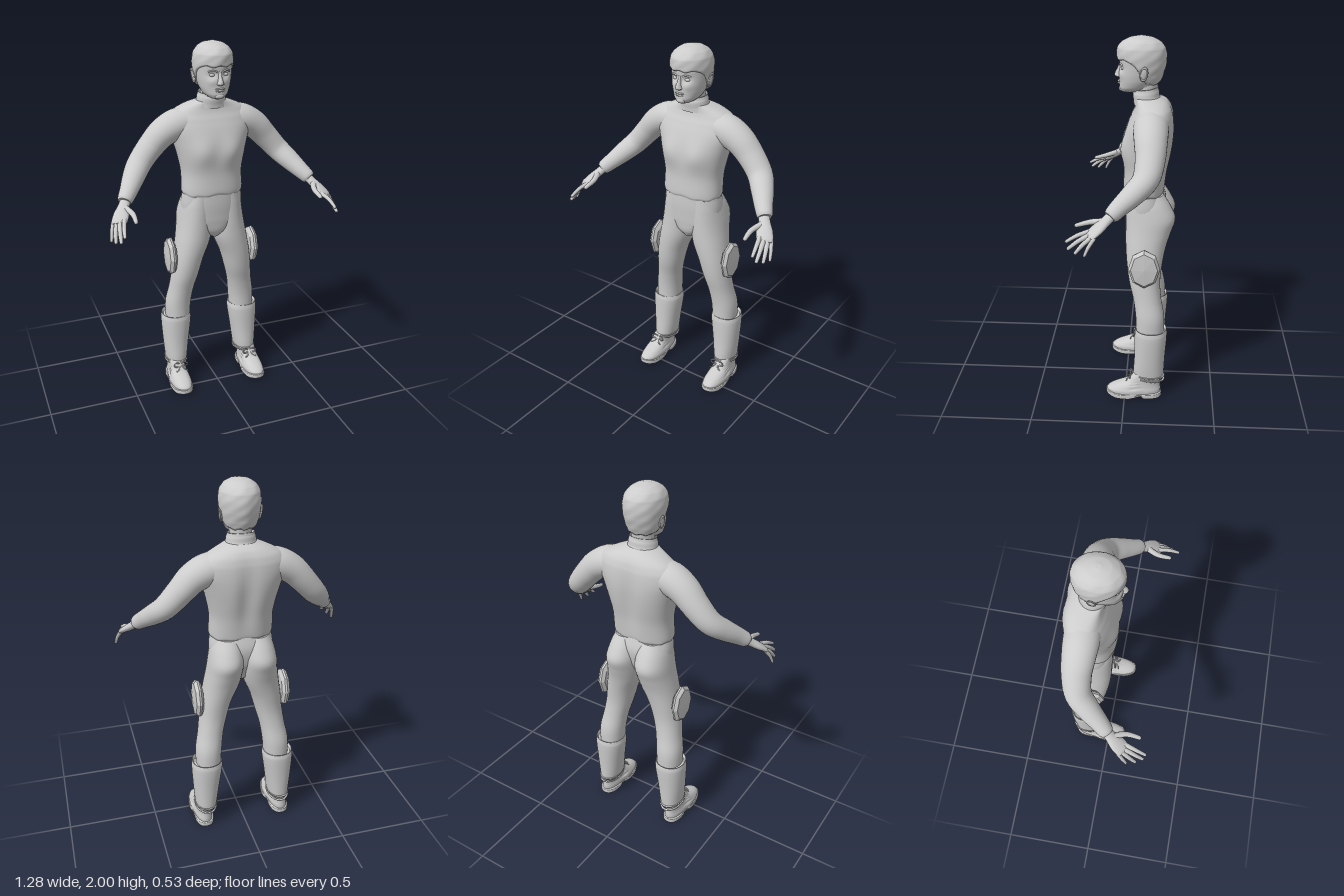
import * as THREE from 'three';

const grey = new THREE.MeshStandardMaterial({ color: 0xcccccc });
grey.name = 'plain grey';

const V = (x, y, z) => new THREE.Vector3(x, y, z);
const gauss = (d, w) => Math.exp(-(d * d) / (w * w));
const spow = (v, e) => Math.sign(v) * Math.pow(Math.abs(v), e);
const smooth = THREE.MathUtils.smoothstep;

// Smooth tube through rows [x, y, z, radiusAcross, radiusDeep]; level rings (rows going up)
// unless `follow` is set. `shape` may adjust each point; `e` < 1 makes rings squarer.
function loft(rows, { seg = 32, steps = 5, follow = false, e = 1, shape = null } = {}) {
  const path = new THREE.CatmullRomCurve3(rows.map(r => V(r[0], r[1], r[2])));
  const size = new THREE.CatmullRomCurve3(rows.map(r => V(r[3], r[4], r[1] * 0.2)));
  const n = (rows.length - 1) * steps, pos = [], idx = [];
  for (let i = 0; i <= n; i++) {
    const c = path.getPoint(i / n), s = size.getPoint(i / n);
    const t = follow ? path.getTangent(i / n) : V(0, 1, 0);
    const u = follow ? t.clone().cross(V(0, 1, 0)).normalize() : V(1, 0, 0);
    const v = u.clone().cross(t);
    for (let j = 0; j < seg; j++) {
      const a = j / seg * Math.PI * 2;
      const p = c.clone().addScaledVector(u, s.x * spow(Math.cos(a), e))
        .addScaledVector(v, s.y * spow(Math.sin(a), e));
      if (shape) shape(p, a);
      pos.push(p.x, p.y, p.z);
      if (i < n) {
        const k = i * seg + j, b = i * seg + (j + 1) % seg;
        idx.push(k, k + seg, b, b, k + seg, b + seg);
      }
    }
  }
  // end caps with their own corners
  for (const end of [0, n]) {
    const base = pos.length / 3, mid = [0, 0, 0];
    for (let j = 0; j < seg; j++) for (let k = 0; k < 3; k++) {
      const q = pos[(end * seg + j) * 3 + k];
      pos.push(q);
      mid[k] += q / seg;
    }
    pos.push(...mid);
    for (let j = 0; j < seg; j++) {
      const a = base + j, b = base + (j + 1) % seg;
      if (end) idx.push(base + seg, b, a); else idx.push(base + seg, a, b);
    }
  }
  const g = new THREE.BufferGeometry();
  g.setAttribute('position', new THREE.Float32BufferAttribute(pos, 3));
  g.setIndex(idx);
  g.computeVertexNormals();
  return g;
}

// Level rows given as [y, halfWidth, zFront, zBack]
const upright = (rows, x = 0) => rows.map(([y, w, f, b]) => [x, y, (f + b) / 2, w, (f - b) / 2]);

function mirrored(g) {
  const m = g.clone().scale(-1, 1, 1), ix = m.index.array;
  for (let i = 0; i < ix.length; i += 3) [ix[i], ix[i + 1]] = [ix[i + 1], ix[i]];
  m.computeVertexNormals();
  return m;
}

function ball(x, y, z, rx, ry, rz) {
  return new THREE.SphereGeometry(1, 16, 12).scale(rx, ry, rz).translate(x, y, z);
}

function cord(points, r) {
  return new THREE.TubeGeometry(new THREE.CatmullRomCurve3(points), 24, r, 6);
}

export function createModel() {
  const model = new THREE.Group();
  model.name = 'standingMan';
  const add = (name, g) => {
    const m = new THREE.Mesh(g, grey);
    m.name = name;
    model.add(m);
  };
  const pair = (name, g, flat = false) => {
    const finish = q => {
      if (!flat) return q;
      const f = q.toNonIndexed();
      f.computeVertexNormals();
      return f;
    };
    add(name + 'Left', finish(g));
    add(name + 'Right', finish(mirrored(g)));
  };

  // Shirt with chest, spine groove and uneven hem
  add('shirt', loft(upright([
    [1.18, 0.166, 0.012, -0.2], [1.195, 0.172, 0.018, -0.205], [1.3, 0.17, 0.016, -0.22],
    [1.4, 0.188, 0.022, -0.24], [1.48, 0.21, 0.014, -0.25], [1.55, 0.232, -0.005, -0.25],
    [1.6, 0.228, -0.025, -0.245], [1.64, 0.195, -0.042, -0.232], [1.67, 0.135, -0.045, -0.21],
    [1.69, 0.08, -0.04, -0.175]]), {
    seg: 64, e: 0.88, shape: (p, a) => {
      if (p.z > -0.1) p.z += 0.016 * gauss(Math.abs(p.x) - 0.085, 0.06) * gauss(p.y - 1.43, 0.07);
      else p.z += 0.02 * gauss(p.x, 0.045) * gauss(p.y - 1.42, 0.18);
      if (p.y < 1.2) p.y += 0.006 * Math.sin(a * 7) * Math.sin(a * 3);
    } }));
  add('collar', loft(upright([
    [1.66, 0.1, -0.035, -0.19], [1.685, 0.081, -0.033, -0.17], [1.71, 0.077, -0.03, -0.167],
    [1.722, 0.073, -0.034, -0.163], [1.722, 0.062, -0.042, -0.155]]),
    { shape: p => { p.y += (-p.z - 0.1) * 0.12; } }));

  // Sleeves
  pair('sleeve', loft([
    [0.08, 1.58, -0.13, 0.085, 0.075], [0.18, 1.565, -0.13, 0.09, 0.084],
    [0.26, 1.525, -0.132, 0.084, 0.078], [0.33, 1.455, -0.132, 0.075, 0.07],
    [0.4, 1.375, -0.112, 0.068, 0.063], [0.45, 1.32, -0.055, 0.06, 0.056],
    [0.495, 1.27, 0.008, 0.048, 0.046], [0.523, 1.24, 0.043, 0.041, 0.04],
    [0.53, 1.232, 0.052, 0.034, 0.033]], { follow: true }));

  // Hands
  pair('palm', loft([
    [0.51, 1.25, 0.03, 0.027, 0.025], [0.538, 1.217, 0.068, 0.03, 0.022],
    [0.563, 1.185, 0.108, 0.042, 0.02], [0.583, 1.16, 0.14, 0.042, 0.015],
    [0.589, 1.152, 0.15, 0.034, 0.009]], { follow: true, seg: 20 }));
  const fingers = [
    ['thumb', [0.535, 1.213, 0.085], [0.512, 1.197, 0.15], [0.515, 1.178, 0.22], 0.014],
    ['indexFinger', [0.557, 1.17, 0.145], [0.574, 1.153, 0.205], [0.585, 1.123, 0.26], 0.011],
    ['middleFinger', [0.577, 1.162, 0.14], [0.594, 1.132, 0.2], [0.602, 1.093, 0.25], 0.0115],
    ['ringFinger', [0.594, 1.157, 0.132], [0.612, 1.12, 0.178], [0.621, 1.079, 0.214], 0.011],
    ['littleFinger', [0.609, 1.157, 0.12], [0.625, 1.115, 0.148], [0.633, 1.072, 0.168], 0.0095]];
  for (const [name, a, b, c, r] of fingers) {
    const d = c.map((v, k) => v + (c[k] - b[k]) * 0.08);
    pair(name, loft([[...a, r * 1.2, r * 1.1], [...b, r * 1.05, r], [...c, r * 0.75, r * 0.7],
      [...d, r * 0.2, r * 0.2]], { follow: true, seg: 10, steps: 4 }));
  }

  // Trousers: hips and legs
  add('hips', loft(upright([
    [0.925, 0.025, -0.03, -0.15], [0.965, 0.09, -0.006, -0.17], [1.03, 0.165, 0.004, -0.2],
    [1.12, 0.174, 0.01, -0.215], [1.2, 0.164, 0.01, -0.196]]), { e: 0.9, seg: 40 }));
  pair('trouserLeg', loft([
    [0.2, 0.38, -0.14, 0.068, 0.077], [0.196, 0.5, -0.138, 0.073, 0.079],
    [0.18, 0.6, -0.122, 0.071, 0.077], [0.16, 0.7, -0.106, 0.077, 0.085],
    [0.14, 0.8, -0.104, 0.085, 0.097], [0.112, 0.9, -0.11, 0.097, 0.111],
    [0.098, 0.98, -0.122, 0.097, 0.124], [0.092, 1.05, -0.132, 0.093, 0.134],
    [0.086, 1.12, -0.118, 0.085, 0.12], [0.08, 1.18, -0.1, 0.07, 0.1]], { e: 0.94 }));

  // Eight-sided thigh pads
  const padProfile = [[0, -0.024], [0.75, -0.022], [0.97, -0.008], [1, 0.003], [0.84, 0.02], [0, 0.027]];
  pair('thighPad', new THREE.LatheGeometry(padProfile.map(p => new THREE.Vector2(...p)), 8)
    .rotateZ(-Math.PI / 2).scale(1, 0.113, 0.086).translate(0.244, 0.813, -0.105), true);

  // Boot shafts, shoes, soles and laces
  pair('bootShaft', loft([
    [0.219, 0.12, -0.136, 0.057, 0.083], [0.218, 0.15, -0.135, 0.062, 0.086],
    [0.215, 0.26, -0.14, 0.074, 0.086], [0.209, 0.4, -0.145, 0.087, 0.09],
    [0.209, 0.416, -0.145, 0.085, 0.088], [0.209, 0.416, -0.145, 0.073, 0.076]], { e: 0.92 }));
  pair('shoe', loft(upright([
    [0.022, 0.06, 0.1, -0.205], [0.045, 0.061, 0.1, -0.205], [0.065, 0.056, 0.075, -0.204],
    [0.085, 0.052, 0.025, -0.203], [0.1, 0.051, -0.01, -0.204], [0.15, 0.053, -0.055, -0.212]], 0.229),
    { e: 0.85, shape: p => { if (p.z < -0.06) p.x = 0.229 + (p.x - 0.229) * 0.88; } }));
  pair('sole', loft(upright([
    [0, 0.062, 0.1, -0.207], [0.006, 0.065, 0.105, -0.21], [0.026, 0.065, 0.106, -0.21],
    [0.03, 0.06, 0.1, -0.205]], 0.229), {
    e: 0.8, seg: 64, shape: p => {
      if (p.y < 0.014 && p.z > -0.11) p.y += 0.016 * (1 - smooth(p.z, -0.1, -0.02));
      p.y += 0.012 * smooth(p.z, 0.04, 0.11);
      p.x = 0.229 + (p.x - 0.229) * (1 - 0.14 * gauss(p.z + 0.1, 0.06));
    } }));
  for (const [y, tilt] of [[0.118, 0.12], [0.137, 0.05]]) {
    pair('ankleLace', new THREE.TorusGeometry(1, 0.075, 6, 40).rotateX(Math.PI / 2)
      .scale(0.06, 0.06, 0.086).rotateX(-tilt).translate(0.219, y, -0.136));
  }
  for (const s of [-1, 1]) {
    pair('laceBow', cord([V(0.22, 0.128, -0.047), V(0.22 + s * 0.025, 0.142, -0.035),
      V(0.22 + s * 0.042, 0.13, -0.03), V(0.22 + s * 0.025, 0.118, -0.03), V(0.22, 0.126, -0.045)], 0.004));
    pair('laceEnd', cord([V(0.22, 0.126, -0.045), V(0.22 + s * 0.018, 0.108, -0.015),
      V(0.22 + s * 0.035, 0.1, -0.008)], 0.0035));
  }

  // Neck and head, with eye sockets and cheeks shaped in
  add('neck', loft(upright([
    [1.68, 0.06, -0.036, -0.158], [1.73, 0.057, -0.036, -0.158], [1.8, 0.06, -0.03, -0.165]])));
  add('head', loft(upright([
    [1.713, 0.02, 0.018, -0.03], [1.719, 0.038, 0.032, -0.07], [1.74, 0.063, 0.04, -0.115],
    [1.775, 0.08, 0.04, -0.15], [1.81, 0.089, 0.041, -0.17], [1.85, 0.095, 0.038, -0.18],
    [1.9, 0.098, 0.04, -0.185], [1.95, 0.08, 0.015, -0.16], [1.975, 0.04, -0.03, -0.11]]), {
    seg: 64, e: 0.95, shape: p => {
      if (p.z < -0.02) return;
      p.z -= 0.012 * gauss(Math.abs(p.x) - 0.036, 0.02) * gauss(p.y - 1.842, 0.016);
      p.z += 0.004 * gauss(Math.abs(p.x) - 0.045, 0.02) * gauss(p.y - 1.805, 0.02);
    } }));

  // Hair: full at the nape, cut to a fringe in front
  add('hair', loft(upright([
    [1.745, 0.07, -0.02, -0.163], [1.8, 0.095, 0.03, -0.185], [1.85, 0.104, 0.046, -0.199],
    [1.9, 0.107, 0.052, -0.203], [1.94, 0.101, 0.05, -0.196], [1.97, 0.082, 0.026, -0.172],
    [1.99, 0.052, -0.012, -0.134], [2, 0.012, -0.06, -0.085]]), {
    seg: 80, steps: 10, shape: (p, a) => {
      const low = 1.762 + 0.118 * smooth(p.z, -0.13, 0) + 0.004 * Math.sin(a * 9);
      const k = (0.8 + 0.2 * smooth(p.y, low - 0.006, low + 0.008))
        * (1 + 0.012 * Math.sin(a * 8 + p.y * 50) * Math.sin(p.y * 60));
      p.x *= k;
      p.z = -0.08 + (p.z + 0.08) * k;
    } }));

  // Facial features
  add('nose', loft([
    [0, 1.789, 0.038, 0.012, 0.012], [0, 1.796, 0.043, 0.019, 0.019], [0, 1.808, 0.043, 0.014, 0.02],
    [0, 1.835, 0.036, 0.009, 0.014], [0, 1.86, 0.032, 0.007, 0.008]], { seg: 16 }));
  add('upperLip', ball(0, 1.77, 0.038, 0.027, 0.005, 0.01));
  add('lowerLip', ball(0, 1.76, 0.037, 0.023, 0.006, 0.011));
  add('chin', ball(0, 1.732, 0.028, 0.026, 0.016, 0.014));
  pair('eye', ball(0.036, 1.841, 0.019, 0.015, 0.009, 0.01));
  pair('eyebrow', cord([V(0.014, 1.857, 0.036), V(0.035, 1.863, 0.031), V(0.058, 1.857, 0.018)], 0.005));
  pair('ear', ball(0, 0, 0, 0.009, 0.036, 0.02).rotateZ(-0.15).rotateX(-0.15).translate(0.1, 1.823, -0.088));
  pair('earRim', new THREE.TorusGeometry(1, 0.18, 8, 24).rotateY(Math.PI / 2).scale(0.022, 0.033, 0.018)
    .rotateZ(-0.15).rotateX(-0.15).translate(0.104, 1.825, -0.09));
  return model;
}
